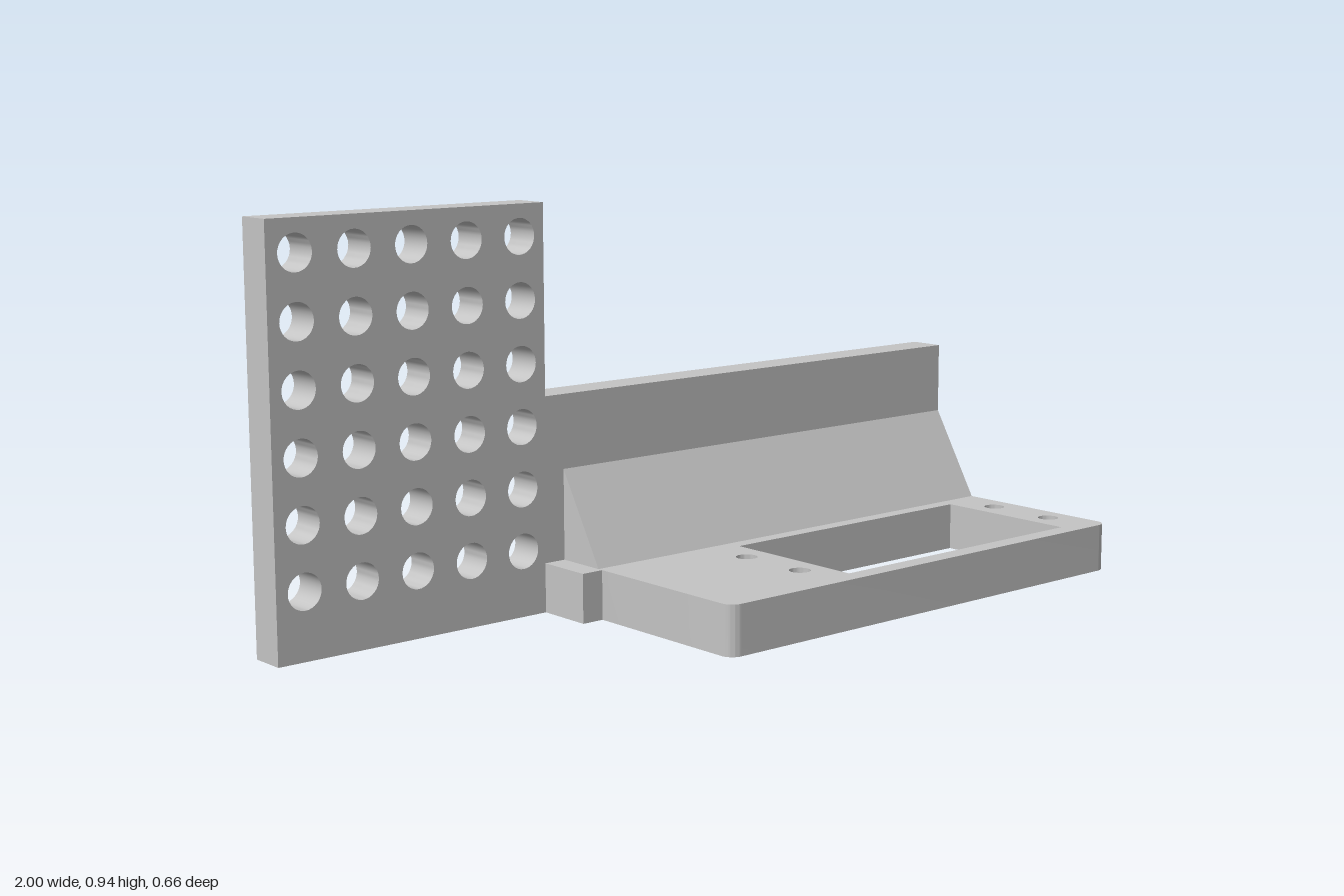
import * as THREE from 'three';
import { toCreasedNormals } from 'three/addons/utils/BufferGeometryUtils.js';

const BACK = -0.33, FACE = -0.243, BASE_H = 0.115;
const LEFT = -0.245, RIGHT = 1, FRONT = 0.33, R = 0.03;

function polygon(points) {
  return new THREE.Shape(points.map(([x, y]) => new THREE.Vector2(x, y)));
}

function addHole(shape, x, y, r) {
  const hole = new THREE.Path();
  hole.absarc(x, y, r, 0, Math.PI * 2, true);
  shape.holes.push(hole);
}

function extrude(shape, depth) {
  const g = new THREE.ExtrudeGeometry(shape, { depth, bevelEnabled: false, curveSegments: 16 });
  return toCreasedNormals(g, 0.6);
}

export function createModel() {
  const group = new THREE.Group();
  const grey = new THREE.MeshStandardMaterial({ color: 0xc4c4c4 });
  grey.name = 'grey';
  const add = (name, geometry) => {
    const mesh = new THREE.Mesh(geometry, grey);
    mesh.name = name;
    group.add(mesh);
  };

  // Upright L-shaped plate with a grid of 5 x 6 holes
  const plate = polygon([[-1, 0], [1, 0], [1, 0.5], [-0.295, 0.5], [-0.295, 0.937], [-1, 0.937]]);
  for (let i = 0; i < 5; i++) {
    for (let j = 0; j < 6; j++) addHole(plate, -0.931 + i * 0.1425, 0.152 + j * 0.1425, 0.041);
  }
  add('backPlate', extrude(plate, FACE - BACK).translate(0, 0, BACK));

  // Horizontal base with rounded corners, drawn in x and -z
  const base = new THREE.Shape();
  const y0 = -FRONT, y1 = -FACE;
  base.moveTo(LEFT + R, y0);
  base.lineTo(RIGHT - R, y0);
  base.absarc(RIGHT - R, y0 + R, R, -Math.PI / 2, 0);
  base.absarc(RIGHT - R, y1 - R, R, 0, Math.PI / 2);
  base.absarc(LEFT + R, y1 - R, R, Math.PI / 2, Math.PI);
  base.absarc(LEFT + R, y0 + R, R, Math.PI, Math.PI * 1.5);

  // Rectangular opening and four screw holes
  base.holes.push(polygon([[0.15, -0.285], [0.15, 0.082], [0.88, 0.082], [0.88, -0.285]]));
  for (const x of [0.088, 0.942]) {
    for (const z of [0.012, 0.19]) addHole(base, x, -z, 0.025);
  }
  add('base', extrude(base, BASE_H).rotateX(-Math.PI / 2));

  // Sloped brace joining base and plate, profile drawn in z and y
  const brace = polygon([[FACE, BASE_H], [-0.118, BASE_H], [FACE, 0.327]]);
  add('brace', extrude(brace, RIGHT - LEFT).rotateY(-Math.PI / 2).translate(RIGHT, 0, 0));

  // Small block beside the base
  const tab = new THREE.BoxGeometry(0.055, BASE_H, 0.138);
  add('sideTab', tab.translate(LEFT - 0.0275, BASE_H / 2, FACE + 0.069));

  return group;
}
